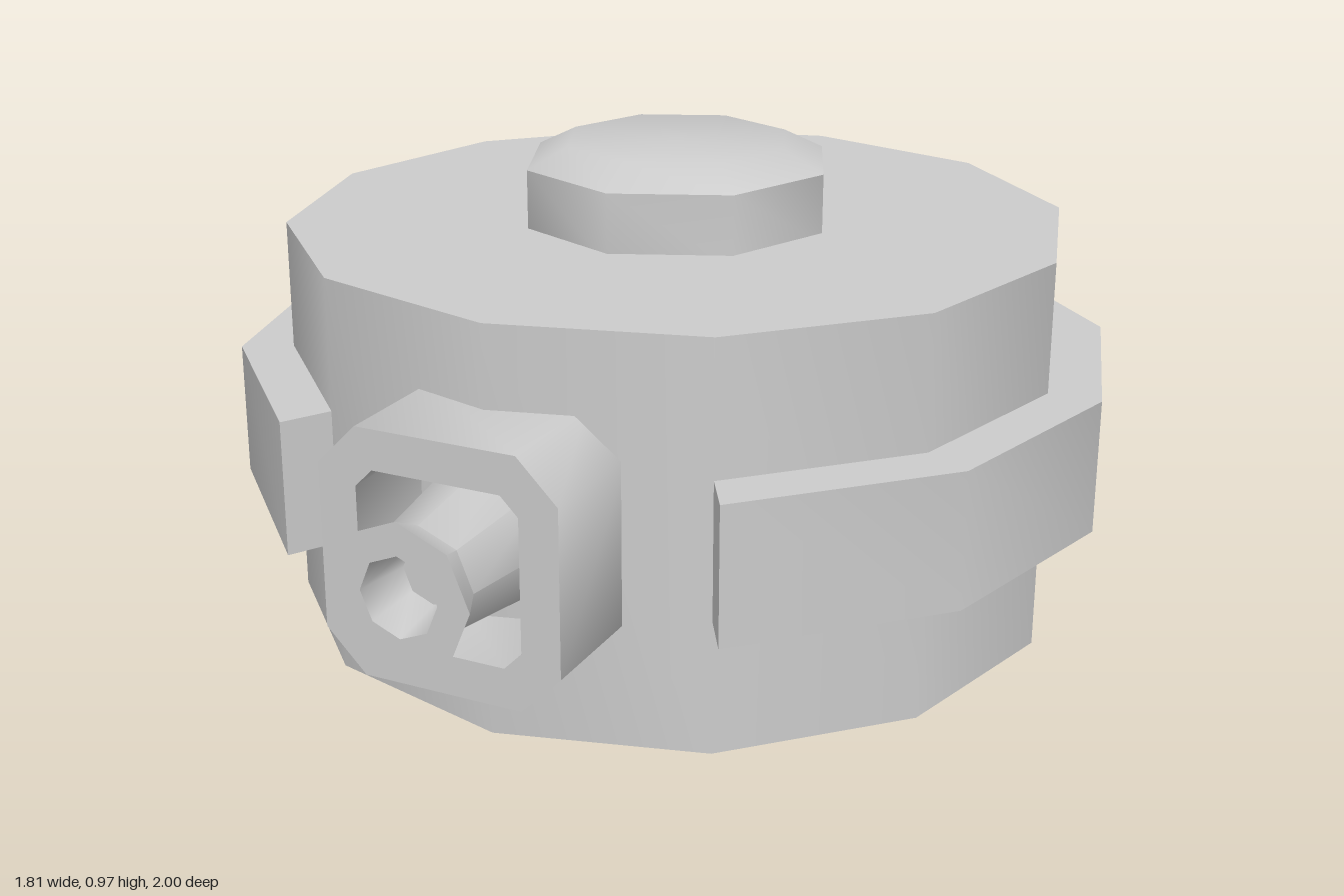
import * as THREE from 'three';
import { toCreasedNormals } from 'three/addons/utils/BufferGeometryUtils.js';

const CREASE = 0.9;
const CENTRE_Z = -0.095;

export function createModel() {
  const model = new THREE.Group();
  const material = new THREE.MeshStandardMaterial({ color: 0xcccccc });

  const add = (name, geometry, x, y, z) => {
    const mesh = new THREE.Mesh(toCreasedNormals(geometry, CREASE), material);
    mesh.name = name;
    mesh.position.set(x, y, z);
    model.add(mesh);
    return mesh;
  };

  // Turned part: profile of [radius, height] from bottom to top
  const lathe = (profile, sides) =>
    new THREE.LatheGeometry(profile.map(([r, y]) => new THREE.Vector2(r, y)), sides);

  // Square outline with cut corners
  const cutSquare = (Type, half, cut) => {
    const c = half - cut;
    return new Type([
      [c, -half], [half, -c], [half, c], [c, half],
      [-c, half], [-half, c], [-half, -c], [-c, -half],
    ].map(([x, y]) => new THREE.Vector2(x, y)));
  };

  // Twelve-sided drum
  add('body', lathe([[0, 0], [0.8, 0], [0.8, 0.805], [0, 0.805]], 12), 0, 0, CENTRE_Z);

  // Low knob with a bevelled top
  add('topKnob', lathe([[0, -0.02], [0.32, -0.02], [0.32, 0.12], [0.235, 0.162], [0, 0.162]], 8),
    0, 0.805, CENTRE_Z);

  // Band around the drum, open at the front
  const arc = (radius) => Array.from({ length: 11 }, (_, i) => {
    const a = (i + 1) * Math.PI / 6;
    return new THREE.Vector2(radius * Math.sin(a), -radius * Math.cos(a));
  });
  const bandShape = new THREE.Shape([...arc(0.907), ...arc(0.795).reverse()]);
  const bandGeometry = new THREE.ExtrudeGeometry(bandShape, { depth: 0.273, bevelEnabled: false });
  bandGeometry.rotateX(-Math.PI / 2);
  add('band', bandGeometry, 0, 0.267, CENTRE_Z);

  // Socket frame on the front, its back sunk into the drum
  const frameShape = cutSquare(THREE.Shape, 0.24, 0.08);
  frameShape.holes.push(cutSquare(THREE.Path, 0.163, 0.035));
  add('socketFrame', new THREE.ExtrudeGeometry(frameShape, { depth: 0.255, bevelEnabled: false }),
    0, 0.404, 0.618);

  // Flared hollow spout pointing forwards
  const spout = lathe([
    [0, 0], [0.145, 0], [0.106, 0.29], [0.14, 0.36], [0.077, 0.36], [0.06, 0.25], [0, 0.25],
  ], 8);
  spout.rotateX(Math.PI / 2);
  add('spout', spout, 0, 0.404, 0.64);

  return model;
}
